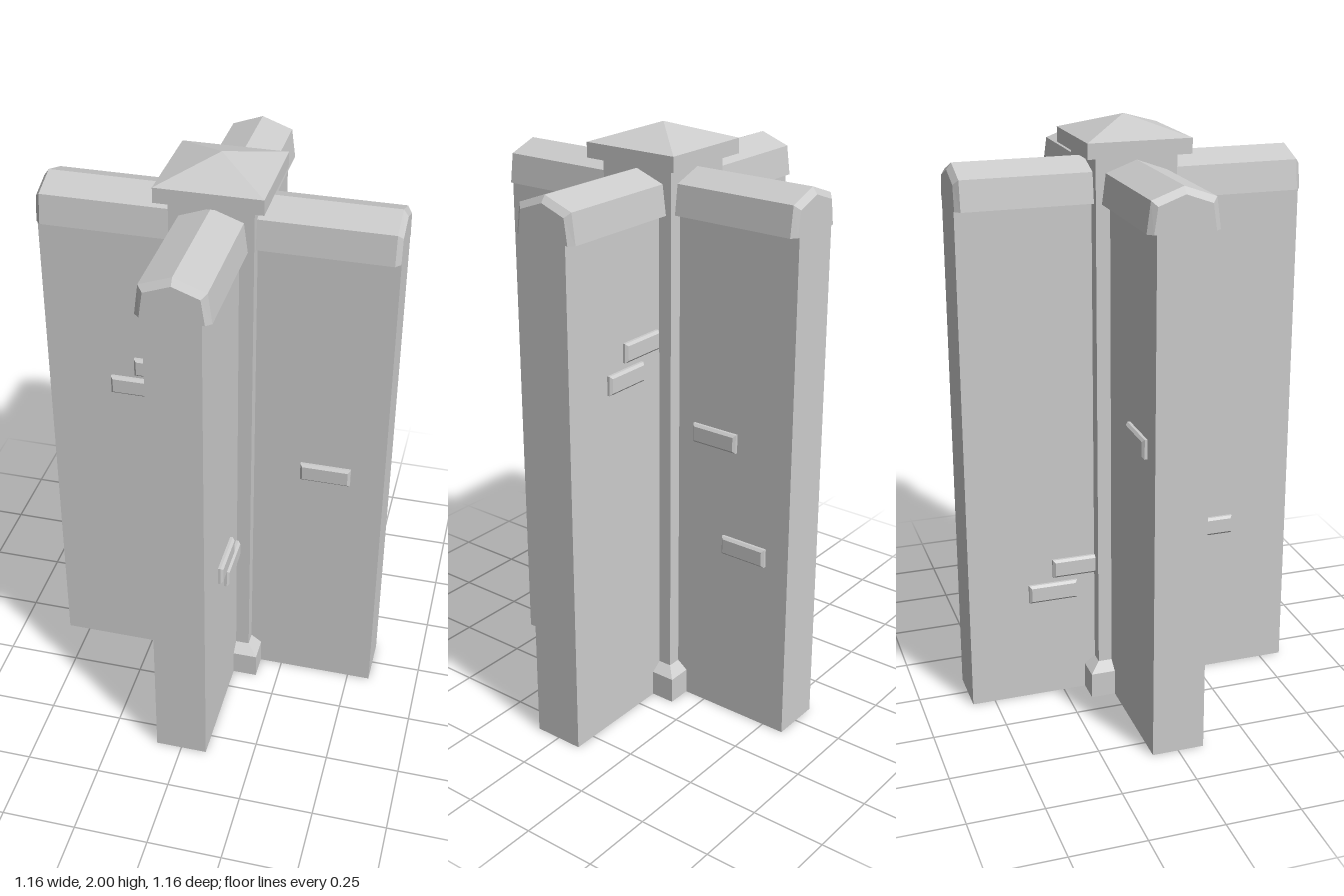
import * as THREE from 'three';

const material = new THREE.MeshStandardMaterial({ color: 0xcccccc, flatShading: true });

const HALF_LENGTH = 0.578; // centre to wall end
const HALF_THICK = 0.088; // wall half thickness

function mesh(name, geometry, parent) {
  const m = new THREE.Mesh(geometry, material);
  m.name = name;
  parent.add(m);
  return m;
}

function box(name, w, h, d, y, parent) {
  const m = mesh(name, new THREE.BoxGeometry(w, h, d), parent);
  m.position.y = y + h / 2;
  return m;
}

// Square frustum given by half widths at the bottom and top
function frustum(name, bottom, top, y0, y1, parent) {
  const g = new THREE.CylinderGeometry(top * Math.SQRT2, bottom * Math.SQRT2, y1 - y0, 4);
  g.rotateY(Math.PI / 4);
  mesh(name, g, parent).position.y = (y0 + y1) / 2;
}

// Closed loft through sections of [z, y] points placed at positions along x
function loft(sections) {
  const n = sections[0].points.length;
  const positions = [];
  const index = [];
  for (const { x, points } of sections) for (const [z, y] of points) positions.push(x, y, z);
  for (let s = 0; s < sections.length - 1; s++) {
    for (let i = 0; i < n; i++) {
      const a = s * n + i;
      const b = s * n + ((i + 1) % n);
      index.push(a, b, b + n, a, b + n, a + n);
    }
  }
  const last = (sections.length - 1) * n;
  for (let i = 1; i < n - 1; i++) {
    index.push(0, i + 1, i, last, last + i, last + i + 1);
  }
  let g = new THREE.BufferGeometry();
  g.setAttribute('position', new THREE.Float32BufferAttribute(positions, 3));
  g.setIndex(index);
  g = g.toNonIndexed();
  g.computeVertexNormals();
  return g;
}

// Ridged coping with bevelled ends
function copingGeometry() {
  const profile = (base, shoulder, shoulderY, ridgeY) => [
    [base, 1.74], [shoulder, shoulderY], [0, ridgeY], [-shoulder, shoulderY], [-base, 1.74],
  ].reverse();
  const outer = profile(0.115, 0.102, 1.838, 1.875);
  const inner = profile(0.097, 0.085, 1.822, 1.853);
  const shoulderX = HALF_LENGTH - 0.016;
  return loft([
    { x: -HALF_LENGTH, points: inner },
    { x: -shoulderX, points: outer },
    { x: shoulderX, points: outer },
    { x: HALF_LENGTH, points: inner },
  ]);
}

// Raised brick with chamfered rim
function brickGeometry() {
  const bevel = 0.008;
  const w = 0.085 - bevel;
  const h = 0.0325 - bevel;
  const shape = new THREE.Shape([
    new THREE.Vector2(-w, -h), new THREE.Vector2(w, -h),
    new THREE.Vector2(w, h), new THREE.Vector2(-w, h),
  ]);
  const g = new THREE.ExtrudeGeometry(shape, {
    depth: 0.02, bevelEnabled: true, bevelSize: bevel, bevelThickness: bevel, bevelSegments: 1,
  });
  return g.translate(0, 0, -0.02 - bevel); // front face at z = 0
}

export function createModel() {
  const model = new THREE.Group();
  model.name = 'crossWall';

  // Two crossing walls with copings
  ['sideWall', 'frontWall'].forEach((name, i) => {
    const wall = new THREE.Group();
    wall.name = name;
    wall.rotation.y = (i * Math.PI) / 2;
    box('wallBody', HALF_LENGTH * 2, 1.78, HALF_THICK * 2, 0, wall);
    mesh('coping', copingGeometry(), wall);
    model.add(wall);
  });

  // Central post with base and cap
  const post = new THREE.Group();
  post.name = 'centralPost';
  box('postShaft', 0.27, 1.9, 0.27, 0, post);
  box('postBase', 0.344, 0.09, 0.344, 0, post);
  frustum('postBaseSlope', 0.172, 0.135, 0.09, 0.117, post);
  box('capSlab', 0.344, 0.05, 0.344, 1.89, post);
  frustum('capPyramid', 0.172, 0, 1.94, 2, post);
  model.add(post);

  // Raised bricks: facing axis, its sign, position along the wall, height
  const bricks = [
    ['z', 1, -0.19, 1.238], ['z', 1, -0.273, 1.158], ['z', 1, 0.38, 0.912],
    ['z', -1, 0.235, 1.333], ['z', -1, 0.313, 1.247], ['z', -1, -0.42, 1.05],
    ['x', 1, 0.318, 0.662], ['x', 1, 0.232, 0.577],
    ['x', 1, -0.285, 1.018], ['x', 1, -0.407, 0.642],
    ['x', -1, -0.2, 0.48], ['x', -1, -0.285, 0.395], ['x', -1, 0.285, 0.558],
  ];
  const brick = brickGeometry();
  for (const [axis, sign, along, y] of bricks) {
    const m = mesh('raisedBrick', brick, model);
    const out = sign * (HALF_THICK + 0.017);
    if (axis === 'z') {
      m.position.set(along, y, out);
      m.rotation.y = sign > 0 ? 0 : Math.PI;
    } else {
      m.position.set(out, y, along);
      m.rotation.y = (sign * Math.PI) / 2;
    }
  }
  return model;
}
